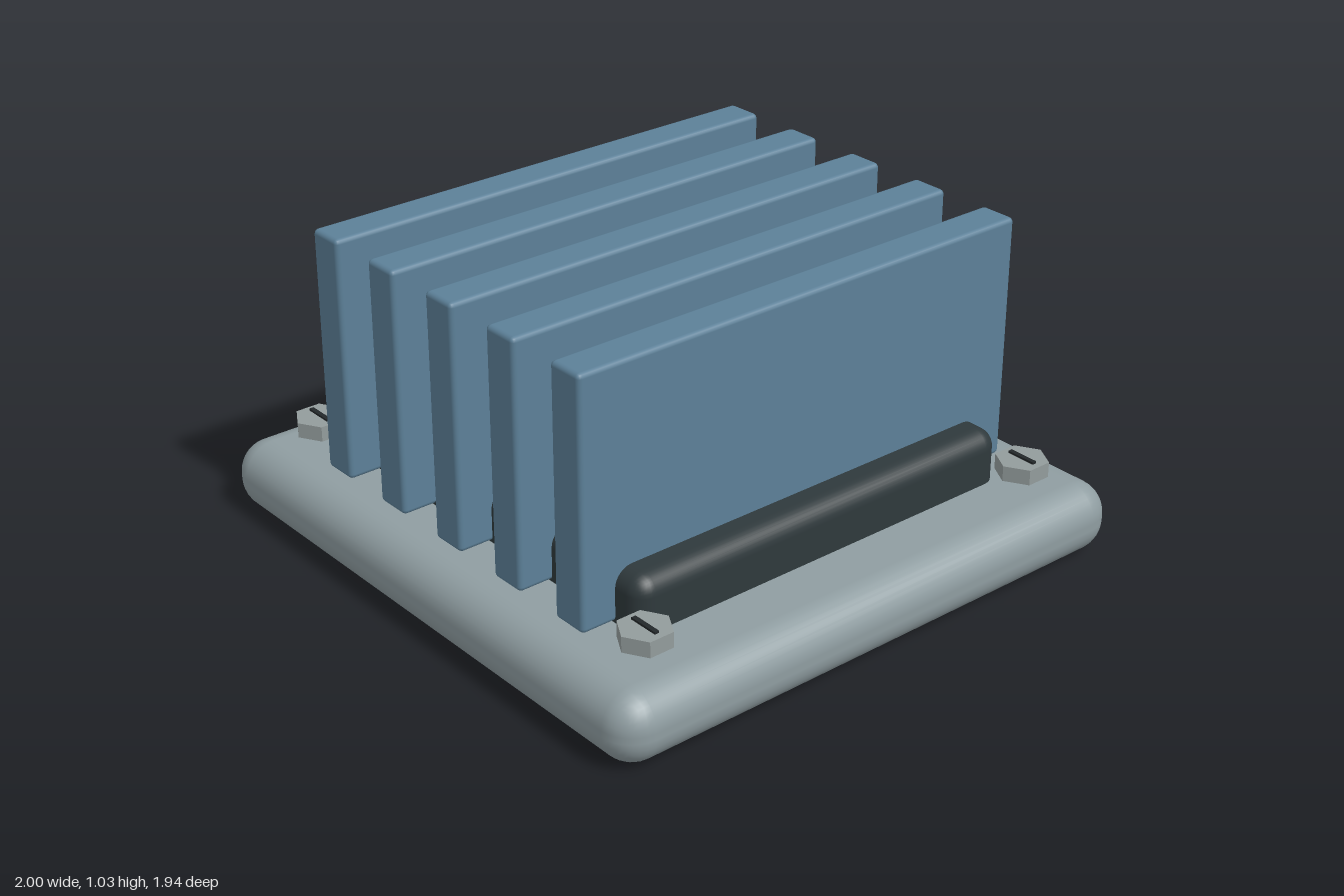
import * as THREE from 'three';
import { RoundedBoxGeometry } from 'three/addons/geometries/RoundedBoxGeometry.js';

const material = (color, flatShading = false) => new THREE.MeshStandardMaterial({ color, flatShading });

// Rounded block given by its size, its bottom height and its edge radius
function block(name, w, h, d, bottom, radius, segments, mat) {
  const mesh = new THREE.Mesh(new RoundedBoxGeometry(w, h, d, segments, radius), mat);
  mesh.name = name;
  mesh.position.y = bottom + h / 2;
  return mesh;
}

export function createModel() {
  const model = new THREE.Group();
  model.name = 'heatSink';

  const baseMat = material(0x8f9da1);
  const darkMat = material(0x2f393c);
  const finMat = material(0x5c8098);
  const boltMat = material(0x939c9c, true);
  const slotMat = material(0x23282a);

  // Base plate and the dark core resting on it
  model.add(block('basePlate', 2, 0.23, 1.94, 0, 0.105, 4, baseMat));
  model.add(block('core', 1.48, 0.23, 1.42, 0.17, 0.06, 4, darkMat));

  // Five upright cooling fins
  for (let i = -2; i <= 2; i++) {
    const fin = block('fin', 0.125, 0.795, 1.65, 0.235, 0.015, 2, finMat);
    fin.position.x = i * 0.286;
    model.add(fin);
  }

  // Slotted hexagonal bolt near each corner
  const headGeometry = new THREE.CylinderGeometry(0.083, 0.083, 0.05, 6);
  const slotGeometry = new THREE.BoxGeometry(0.1, 0.015, 0.015);
  for (const x of [-0.803, 0.803]) {
    for (const z of [-0.742, 0.742]) {
      const bolt = new THREE.Group();
      bolt.name = 'bolt';
      const head = new THREE.Mesh(headGeometry, boltMat);
      head.name = 'boltHead';
      const slot = new THREE.Mesh(slotGeometry, slotMat);
      slot.name = 'boltSlot';
      slot.position.y = 0.0245;
      bolt.add(head, slot);
      bolt.position.set(x, 0.29, z);
      model.add(bolt);
    }
  }

  return model;
}
